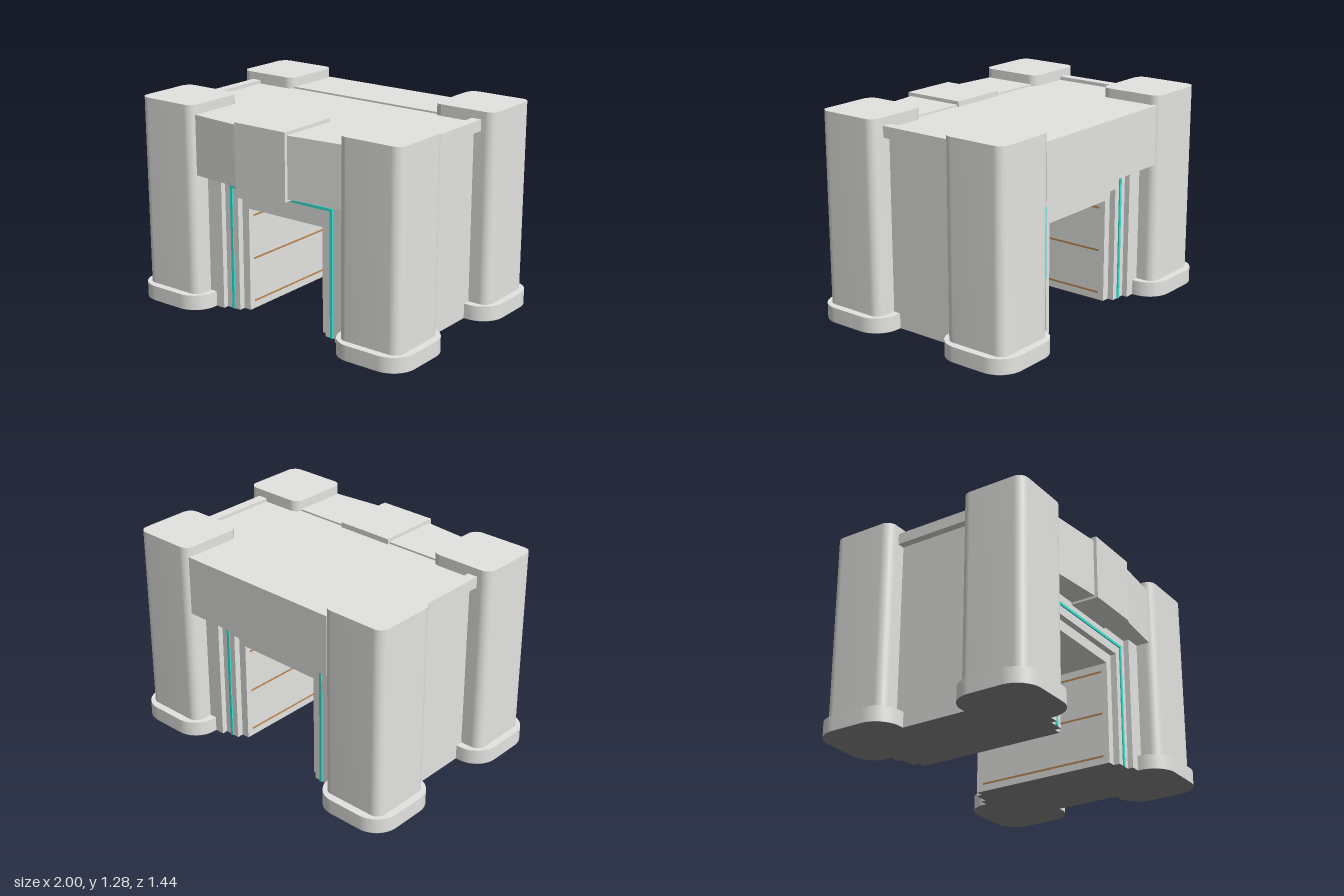
import * as THREE from 'three';
import { toCreasedNormals } from 'three/addons/utils/BufferGeometryUtils.js';

export function createModel() {
  const group = new THREE.Group();
  const material = (name, color) => {
    const m = new THREE.MeshStandardMaterial({ color });
    m.name = name;
    return m;
  };
  const stone = material('stone grey', 0xe4e4e2);
  const dark = material('dark underside grey', 0x8c8c8b);
  const teal = material('teal glow', 0x36e6d6);
  const brown = material('brown trim', 0xc08a52);
  const SOLE = 0.002;

  const add = (name, geometry, mat, x = 0, y = 0, z = 0) => {
    const mesh = new THREE.Mesh(geometry, mat);
    mesh.name = name;
    mesh.position.set(x, y, z);
    group.add(mesh);
    return mesh;
  };
  // Box given by its minimum and maximum corners
  const box = (name, mat, x0, x1, y0, y1, z0, z1) =>
    add(name, new THREE.BoxGeometry(x1 - x0, y1 - y0, z1 - z0), mat,
      (x0 + x1) / 2, (y0 + y1) / 2, (z0 + z1) / 2);
  // Box and its mirror image across x = 0
  const boxPair = (...args) => {
    box(...args);
    box(...args).position.x *= -1;
  };

  // Upright column with a rounded square plan, standing on y = 0
  function roundedColumn(w, d, r, h) {
    const s = new THREE.Shape();
    const a = w / 2 - r, b = d / 2 - r;
    s.absarc(a, b, r, 0, Math.PI / 2);
    s.absarc(-a, b, r, Math.PI / 2, Math.PI);
    s.absarc(-a, -b, r, Math.PI, Math.PI * 1.5);
    s.absarc(a, -b, r, Math.PI * 1.5, Math.PI * 2);
    const g = new THREE.ExtrudeGeometry(s, { depth: h, bevelEnabled: false, curveSegments: 8 });
    g.rotateX(-Math.PI / 2);
    return toCreasedNormals(g, 0.6);
  }

  // Square arch centred on z, open at the bottom
  function arch(outerX, outerY, innerX, innerY, depth) {
    const s = new THREE.Shape([
      [-outerX, SOLE], [-innerX, SOLE], [-innerX, innerY], [innerX, innerY],
      [innerX, SOLE], [outerX, SOLE], [outerX, outerY], [-outerX, outerY],
    ].map(([x, y]) => new THREE.Vector2(x, y)));
    const g = new THREE.ExtrudeGeometry(s, { depth, bevelEnabled: false });
    return g.translate(0, 0, -depth / 2);
  }

  // Main body and the stepped door frames inside it, each on a dark sole
  for (const [name, outerX, outerY, innerX, innerY, depth] of [
    ['body', 0.82, 1.21, 0.43, 0.85, 1.1],
    ['outerDoorFrame', 0.43, 0.85, 0.33, 0.72, 1.03],
    ['innerDoorFrame', 0.33, 0.72, 0.28, 0.652, 0.95],
  ]) {
    add(name, arch(outerX, outerY, innerX, innerY, depth), stone);
    boxPair(name + 'Sole', dark, innerX, outerX, 0, SOLE, -depth / 2, depth / 2);
  }

  // Corner towers on rounded plinths
  const tower = roundedColumn(0.418, 0.416, 0.06, 1.23);
  const plinth = roundedColumn(0.51, 0.51, 0.15, 0.093);
  const plinthSole = roundedColumn(0.51, 0.51, 0.15, SOLE);
  for (const sx of [-1, 1]) {
    for (const sz of [-1, 1]) {
      add('tower', tower, stone, sx * 0.745, 0.05, sz * 0.465);
      add('plinth', plinth, stone, sx * 0.745, SOLE, sz * 0.465);
      add('plinthSole', plinthSole, dark, sx * 0.745, 0, sz * 0.465);
    }
  }

  // Front lintel, angled forward towards its middle block
  const plan = new THREE.Shape([
    [-0.545, -0.637], [-0.185, -0.672], [0.185, -0.672],
    [0.545, -0.637], [0.545, -0.298], [-0.545, -0.298],
  ].map(([x, y]) => new THREE.Vector2(x, y)));
  const lintel = new THREE.ExtrudeGeometry(plan, { depth: 0.371, bevelEnabled: false });
  lintel.rotateX(-Math.PI / 2);
  add('frontLintel', lintel, stone, 0, 0.85, 0);
  box('keyBlock', stone, -0.186, 0.186, 0.835, 1.243, 0.283, 0.693);

  // Back lintel
  box('backLintel', stone, -0.545, 0.545, 0.85, 1.221, -0.652, -0.283);

  // Roof ledge along each side
  boxPair('roofLedge', stone, 0.805, 0.868, 1.163, 1.232, -0.28, 0.28);

  // Glowing strips: full surround in front, uprights only at the back
  add('frontDoorLight', arch(0.386, 0.793, 0.369, 0.776, 0.008), teal, 0, 0, 0.519);
  boxPair('backDoorLight', teal, 0.369, 0.386, SOLE, 0.793, -0.523, -0.515);

  // Thin rails set into the passage walls
  for (const y of [0.05, 0.325, 0.6]) {
    boxPair('wallRail', brown, 0.2785, 0.284, y - 0.006, y + 0.006, -0.435, 0.435);
  }
  return group;
}
